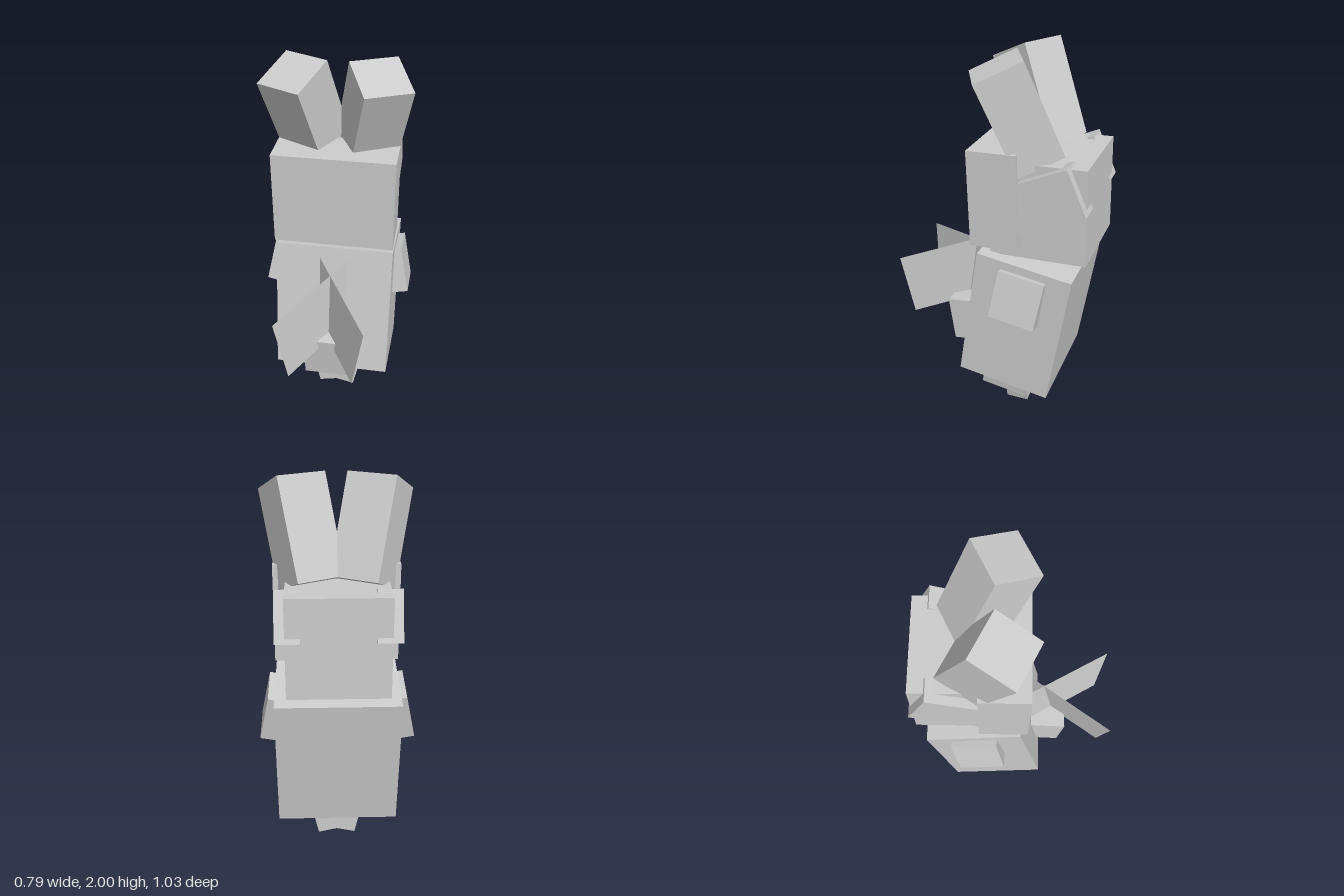
import * as THREE from 'three';

export function createModel() {
  const model = new THREE.Group();
  const grey = new THREE.MeshStandardMaterial({ color: 0xcccccc, flatShading: true });
  const thin = new THREE.MeshStandardMaterial({ color: 0xcccccc, flatShading: true, side: THREE.DoubleSide });

  function box(name, size, pos, rot = [0, 0, 0], order = 'XYZ') {
    const mesh = new THREE.Mesh(new THREE.BoxGeometry(...size), grey);
    mesh.name = name;
    mesh.position.set(...pos);
    mesh.rotation.set(...rot, order);
    model.add(mesh);
  }

  // Mirrored pair: the given placement is the left (+x) one
  function pair(name, size, [x, y, z], [rx, ry, rz], order) {
    for (const s of [1, -1]) {
      box((s > 0 ? 'left' : 'right') + name, size, [s * x, y, z], [rx, s * ry, s * rz], order);
    }
  }

  // Torso, leaning back
  box('body', [0.62, 0.738, 0.496], [0, 0.628, -0.16], [-0.15, 0, 0]);

  // Head: wide face block in front of a narrower skull
  box('face', [0.62, 0.495, 0.247], [0, 1.322, -0.051], [0.03, 0, 0]);
  box('skull', [0.495, 0.495, 0.495], [0, 1.267, -0.255], [0.03, 0, 0]);

  // Slanted cheek blocks on the sides of the skull
  pair('Cheek', [0.12, 0.247, 0.45], [0.235, 1.33, -0.255], [0.42, 0, 0]);

  // Ears, turned outwards and tipped forwards
  pair('Ear', [0.247, 0.495, 0.247], [0.168, 1.724, -0.125], [0.417, 0.464, 0], 'YXZ');

  // Short arms, flared from the body sides
  pair('Arm', [0.12, 0.25, 0.24], [0.311, 0.822, -0.195], [-0.15, 0, 0.2]);

  // Hips and small feet
  pair('Hip', [0.247, 0.12, 0.247], [0.151, 0.261, -0.106], [-0.15, 0, -0.13]);
  pair('Foot', [0.122, 0.25, 0.122], [0.068, 0.135, -0.117], [0, 0, -0.22]);

  // Block on the lower front
  box('frontBlock', [0.247, 0.247, 0.25], [0, 0.485, 0.144], [0.14, 0, 0]);

  // Two thin crossed plates at the front
  for (const s of [1, -1]) {
    const along = new THREE.Vector3(-s * 0.305, 0.105, -0.485).normalize();
    const down = new THREE.Vector3(-s * 0.06, -0.36, -0.04);
    const corner = new THREE.Vector3(s * 0.225, 0.86, 0.515);
    const up = down.clone().normalize().negate();
    const length = 0.62, height = down.length();
    const normal = new THREE.Vector3().crossVectors(along, up);
    const plate = new THREE.Mesh(new THREE.PlaneGeometry(length, height), thin);
    plate.name = s > 0 ? 'leftPlate' : 'rightPlate';
    plate.quaternion.setFromRotationMatrix(new THREE.Matrix4().makeBasis(along, up, normal));
    plate.position.copy(corner).addScaledVector(along, length / 2).addScaledVector(down, 0.5);
    model.add(plate);
  }

  return model;
}
